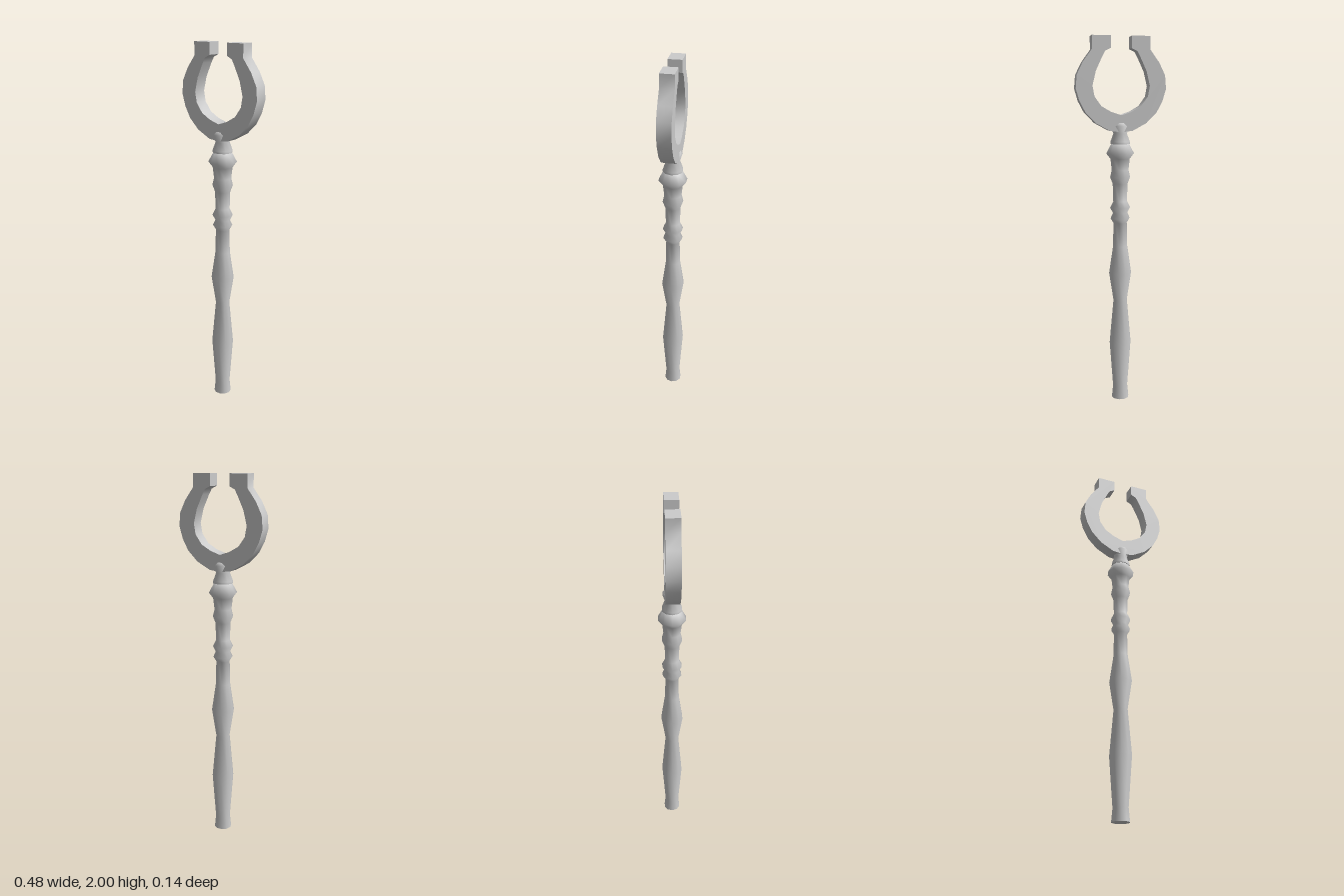
import * as THREE from 'three';
import { toCreasedNormals } from 'three/addons/utils/BufferGeometryUtils.js';

const material = new THREE.MeshStandardMaterial({ color: 0xcccccc });

// Ten-sided turned part from [radius, y] pairs, with corners on the x axis
function turned(name, profile) {
  const points = profile.map(([r, y]) => new THREE.Vector2(r, y));
  const geometry = new THREE.LatheGeometry(points, 10, Math.PI / 2);
  const mesh = new THREE.Mesh(toCreasedNormals(geometry, 1.4), material);
  mesh.name = name;
  return mesh;
}

// Open horseshoe plate, half outline mirrored across x = 0
function horseshoe() {
  const outer = [
    [0.06, 1.51], [0.135, 1.55], [0.19, 1.605], [0.222, 1.665], [0.241, 1.73],
    [0.235, 1.8], [0.203, 1.865], [0.155, 1.93], [0.155, 2],
  ];
  const inner = [
    [0.055, 2], [0.055, 1.937], [0.085, 1.922], [0.1, 1.895], [0.135, 1.82],
    [0.153, 1.745], [0.143, 1.69], [0.107, 1.64], [0.055, 1.61],
  ];
  const half = [...outer, ...inner];
  const mirrored = half.map(([x, y]) => [-x, y]).reverse();
  const outline = [[0, 1.503], ...half, [0, 1.592], ...mirrored];
  const shape = new THREE.Shape(outline.map(([x, y]) => new THREE.Vector2(x, y)));
  const depth = 0.073;
  const geometry = new THREE.ExtrudeGeometry(shape, { depth, bevelEnabled: false });
  geometry.translate(0, 0, -depth / 2);
  const mesh = new THREE.Mesh(toCreasedNormals(geometry, 0.65), material);
  mesh.name = 'horseshoeHead';
  return mesh;
}

export function createModel() {
  const group = new THREE.Group();
  group.name = 'staff';

  // Long shaft: flared foot, two swells, bead rings and a wide top flange
  group.add(turned('shaft', [
    [0, 0], [0.048, 0], [0.041, 0.07], [0.06, 0.33], [0.038, 0.575],
    [0.062, 0.73], [0.04, 0.88], [0.037, 1.01], [0.053, 1.037], [0.04, 1.065],
    [0.055, 1.095], [0.038, 1.13], [0.041, 1.225], [0.055, 1.262],
    [0.046, 1.3], [0.053, 1.36], [0.076, 1.39], [0.046, 1.445], [0, 1.445],
  ]));

  // Waisted collar that grips the head
  group.add(turned('collar', [
    [0, 1.44], [0.053, 1.44], [0.053, 1.452], [0.037, 1.495],
    [0.05, 1.535], [0.036, 1.555], [0, 1.555],
  ]));

  group.add(horseshoe());
  return group;
}
